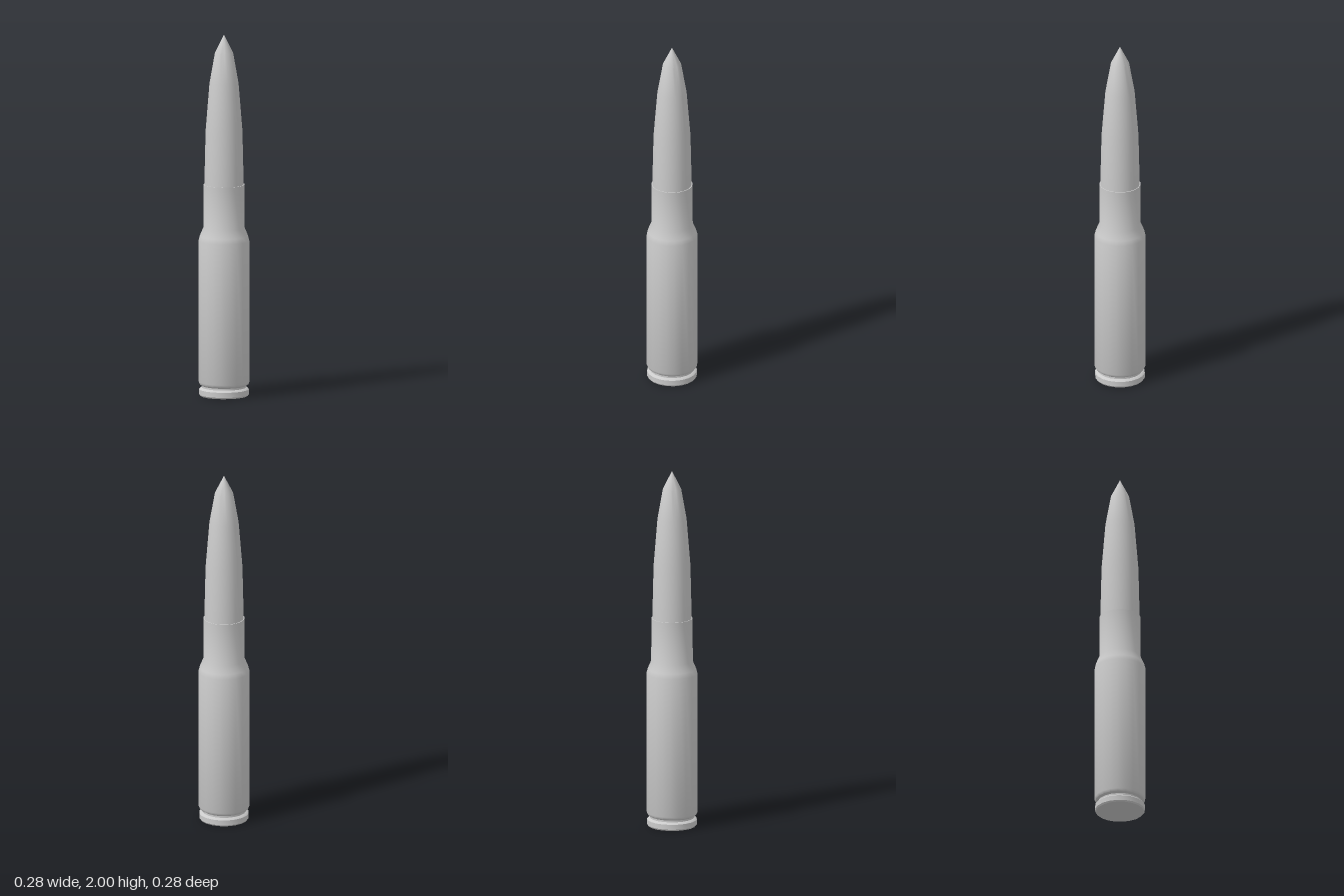
import * as THREE from 'three';
import { toCreasedNormals } from 'three/addons/utils/BufferGeometryUtils.js';

const material = new THREE.MeshStandardMaterial({ color: 0xcccccc });

// Turned part from [radius, height] pairs, listed bottom to top
function turned(name, profile, sides) {
  const points = profile.map(([r, y]) => new THREE.Vector2(r, y));
  const geometry = toCreasedNormals(new THREE.LatheGeometry(points, sides), 0.6);
  const mesh = new THREE.Mesh(geometry, material);
  mesh.name = name;
  return mesh;
}

export function createModel() {
  const group = new THREE.Group();
  group.name = 'cartridge';

  // Case: flat base, rim, extractor groove, body, shoulder, neck and rolled-in mouth
  group.add(turned('case', [
    [0, 0], [0.131, 0], [0.137, 0.008], [0.137, 0.036], [0.131, 0.042],
    [0.122, 0.046], [0.122, 0.056], [0.134, 0.064], [0.14, 0.078],
    [0.14, 0.858], [0.133, 0.885], [0.114, 0.93],
    [0.113, 1.17], [0.105, 1.17], [0.105, 1.12],
  ], 20));

  // Projectile: seated in the neck, tapering in steps to a point
  group.add(turned('projectile', [
    [0, 1.1], [0.108, 1.1], [0.108, 1.17], [0.101, 1.47],
    [0.08, 1.73], [0.05, 1.9], [0, 2],
  ], 32));

  return group;
}
